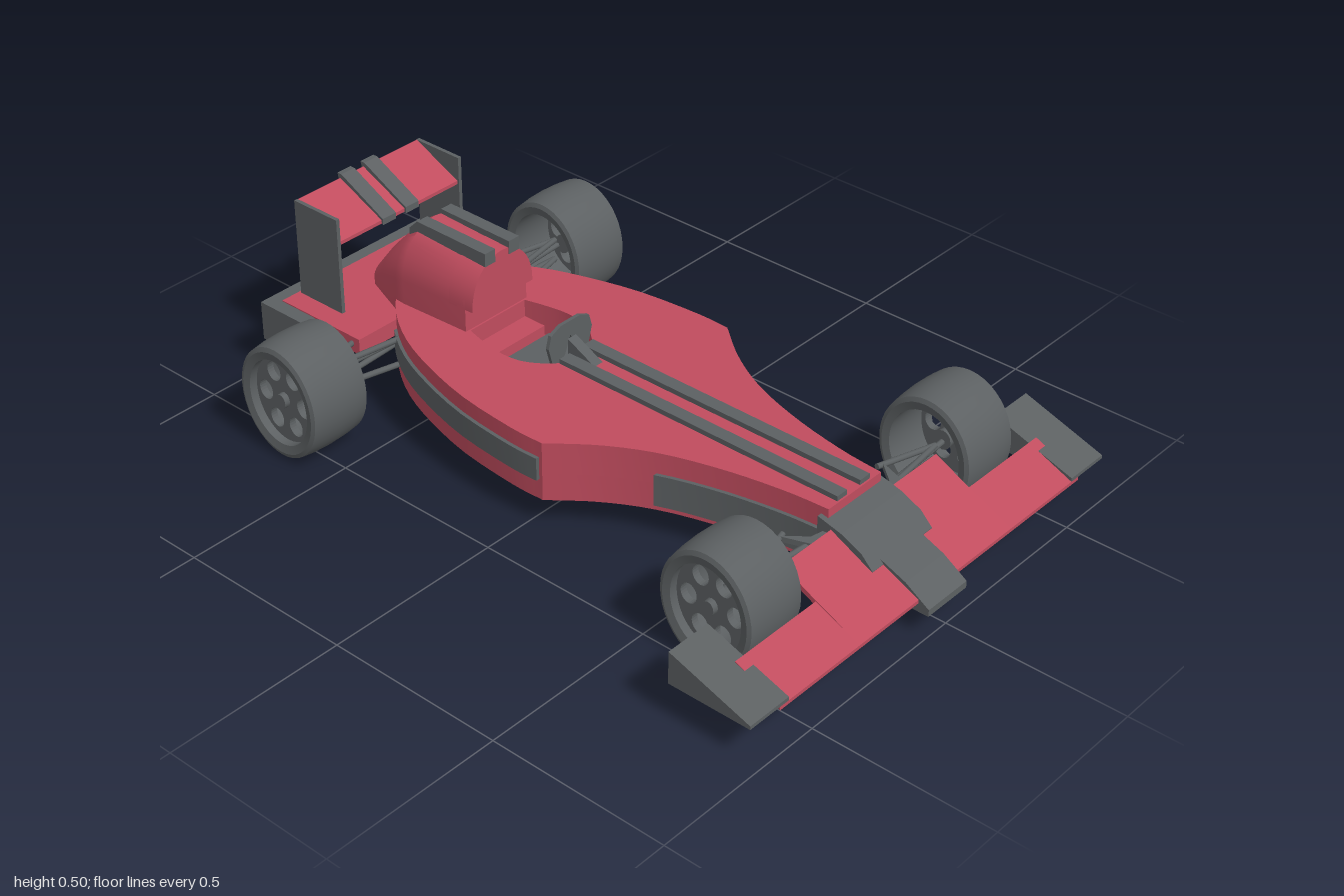
import * as THREE from 'three';
import { toCreasedNormals } from 'three/addons/utils/BufferGeometryUtils.js';

const red = new THREE.MeshStandardMaterial({ color: 0xc04c5e });
const grey = new THREE.MeshStandardMaterial({ color: 0x5c6062 });
const V2 = (x, y) => new THREE.Vector2(x, y);

// Plan outline (x, z) extruded upward from y0 to y1
function slab(points, y0, y1, hole) {
  const flip = (list) => list.map(([x, z]) => V2(x, -z));
  const shape = new THREE.Shape(flip(points));
  if (hole) shape.holes.push(new THREE.Path(flip(hole)));
  const g = new THREE.ExtrudeGeometry(shape, { depth: y1 - y0, bevelEnabled: false });
  return toCreasedNormals(g.rotateX(-Math.PI / 2).translate(0, y0, 0), 0.5);
}

// Side profile (z, y) extruded across x0..x1
function prism(points, x0, x1) {
  const shape = new THREE.Shape(points.map(([z, y]) => V2(z, y)));
  const g = new THREE.ExtrudeGeometry(shape, { depth: x1 - x0, bevelEnabled: false });
  return g.rotateY(-Math.PI / 2).translate(x1, 0, 0);
}

function box(x0, x1, y0, y1, z0, z1) {
  return new THREE.BoxGeometry(x1 - x0, y1 - y0, z1 - z0)
    .translate((x0 + x1) / 2, (y0 + y1) / 2, (z0 + z1) / 2);
}

// Arched tube lofted from front to back; section = [z, halfWidth, base, shoulder, top]
function archLoft(sections) {
  const n = 20;
  const rings = sections.map(([z, w, base, shoulder, top]) => {
    const ring = [[w, base, z]];
    for (let i = 0; i <= n; i++) {
      const a = (i / n) * Math.PI;
      ring.push([w * Math.cos(a), shoulder + (top - shoulder) * Math.sin(a), z]);
    }
    ring.push([-w, base, z]);
    return ring;
  });
  const pos = [], m = rings[0].length, last = rings[rings.length - 1];
  const tri = (a, b, c) => pos.push(...a, ...b, ...c);
  for (let i = 0; i + 1 < rings.length; i++) {
    for (let j = 0; j < m; j++) {
      const k = (j + 1) % m, p = rings[i], q = rings[i + 1];
      tri(p[j], q[j], p[k]);
      tri(p[k], q[j], q[k]);
    }
  }
  for (let j = 1; j + 1 < m; j++) {
    tri(rings[0][0], rings[0][j], rings[0][j + 1]);
    tri(last[0], last[j + 1], last[j]);
  }
  const g = new THREE.BufferGeometry();
  g.setAttribute('position', new THREE.Float32BufferAttribute(pos, 3));
  g.computeVertexNormals();
  return toCreasedNormals(g, 0.5);
}

function rod(a, b, r) {
  const p = new THREE.Vector3(...a), d = new THREE.Vector3(...b).sub(p);
  const g = new THREE.CylinderGeometry(r, r, d.length(), 8);
  g.applyQuaternion(new THREE.Quaternion().setFromUnitVectors(
    new THREE.Vector3(0, 1, 0), d.clone().normalize()));
  return g.translate(p.x + d.x / 2, p.y + d.y / 2, p.z + d.z / 2);
}

const sample = (pts, n) => new THREE.SplineCurve(pts.map(([x, z]) => V2(x, z)))
  .getPoints(n).map((p) => [p.x, p.y]);
const mirrorX = (pts) => pts.map(([x, z]) => [-x, z]).reverse();

// Wheel with an open barrel and a six-hole rim disc; outer side faces +x
function makeWheel() {
  const wheel = new THREE.Group();
  const profile = [[0.122, -0.088], [0.145, -0.093], [0.157, -0.088], [0.162, -0.05], [0.164, 0],
    [0.162, 0.05], [0.157, 0.088], [0.145, 0.093], [0.122, 0.088], [0.122, -0.088]];
  const tyre = new THREE.LatheGeometry(profile.map(([r, y]) => V2(r, y)), 40).rotateZ(-Math.PI / 2);
  const disc = new THREE.Shape().absarc(0, 0, 0.123, 0, Math.PI * 2);
  for (let i = 0; i < 6; i++) {
    const a = (i / 6) * Math.PI * 2;
    disc.holes.push(new THREE.Path().absarc(0.08 * Math.cos(a), 0.08 * Math.sin(a), 0.028, 0, Math.PI * 2));
  }
  const rim = new THREE.ExtrudeGeometry(disc, { depth: 0.02, bevelEnabled: false, curveSegments: 12 })
    .rotateY(Math.PI / 2).translate(0.045, 0, 0);
  const hub = new THREE.CylinderGeometry(0.02, 0.028, 0.09, 12).rotateZ(-Math.PI / 2).translate(0.035, 0, 0);
  const parts = { tyre: toCreasedNormals(tyre, 0.6), rim, hub };
  for (const [name, g] of Object.entries(parts)) {
    const mesh = new THREE.Mesh(g, grey);
    mesh.name = name;
    wheel.add(mesh);
  }
  wheel.scale.z = 0.86;
  return wheel;
}

export function createModel() {
  const car = new THREE.Group();
  const add = (name, geometry, material) => {
    const mesh = new THREE.Mesh(geometry, material);
    mesh.name = name;
    car.add(mesh);
    return mesh;
  };

  // Body: concave front flank, bulging rear flank
  const front = sample([[0.1, 0.72], [0.11, 0.6], [0.14, 0.44], [0.19, 0.28], [0.26, 0.15], [0.347, 0.04]], 18);
  const rear = sample([[0.347, 0.03], [0.348, -0.06], [0.33, -0.24], [0.29, -0.4], [0.24, -0.53], [0.17, -0.64], [0.08, -0.73]], 18);
  const half = [...front, ...rear];
  const outline = [...half, ...mirrorX(half)];
  const rimHalf = sample([[0.03, -0.155], [0.07, -0.175], [0.115, -0.24], [0.125, -0.31], [0.115, -0.38], [0.1, -0.44]], 14);
  add('bodyFloor', slab(outline, 0.082, 0.16, null), red);
  add('body', slab(outline, 0.16, 0.25, [...rimHalf, ...mirrorX(rimHalf)]), red);
  add('cockpitFloor', box(-0.125, 0.125, 0.155, 0.17, -0.37, -0.155), grey);
  add('seat', box(-0.1, 0.1, 0.16, 0.2, -0.45, -0.37), red);

  // Flank stripes that follow the outline
  const band = (pts, y0, y1, side) => {
    const outer = pts.map(([x, z]) => [x + 0.01, z]).reverse();
    return slab([...pts, ...outer].map(([x, z]) => [x * side, z]), y0, y1, null);
  };
  for (const s of [1, -1]) {
    add('rearFlankStripe', band(rear.slice(0, 16), 0.14, 0.205, s), grey);
    add('frontFlankStripe', band(front.filter((p) => p[1] > 0.26), 0.1, 0.19, s), grey);
    const a = s * 0.025, b = s * 0.062;
    const [x0, x1] = [Math.min(a, b), Math.max(a, b)];
    add('topStripe', box(x0, x1, 0.245, 0.264, -0.165, 0.715), grey);
    add('coverStripe', prism([[-0.418, 0.43], [-0.418, 0.468], [-0.66, 0.47], [-0.69, 0.44], [-0.69, 0.42]], x0, x1), grey);
    add('wingStripe', prism([[-0.785, 0.412], [-0.785, 0.43], [-0.935, 0.507], [-0.95, 0.507], [-0.945, 0.485]],
      s > 0 ? 0.018 : -0.065, s > 0 ? 0.065 : -0.018), grey);
  }

  // Windscreen and its small fairing
  const screen = new THREE.Shape([[-0.04, 0.23], [-0.02, 0.25], [0, 0.3], [0.02, 0.25], [0.04, 0.23],
    [0.065, 0.235], [0.08, 0.29], [0.07, 0.325], [0.035, 0.34], [-0.035, 0.34], [-0.07, 0.325],
    [-0.08, 0.29], [-0.065, 0.235]].map(([x, y]) => V2(x, y)));
  add('windscreen', new THREE.ExtrudeGeometry(screen, { depth: 0.01, bevelEnabled: false }).translate(0, 0, -0.195), grey);
  add('screenFairing', prism([[-0.09, 0.25], [-0.18, 0.295], [-0.18, 0.25]], -0.015, 0.015), grey);

  // Engine cover and intake lip
  add('engineCover', archLoft([[-0.445, 0.112, 0.2, 0.32, 0.452], [-0.66, 0.122, 0.2, 0.32, 0.46],
    [-0.69, 0.12, 0.2, 0.31, 0.44], [-0.78, 0.085, 0.2, 0.27, 0.345], [-0.83, 0.065, 0.2, 0.24, 0.28]]), red);
  add('intakeLip', archLoft([[-0.42, 0.11, 0.315, 0.325, 0.452], [-0.5, 0.115, 0.315, 0.325, 0.455]]), red);

  // Nose
  add('noseBlock', prism([[0.7, 0.09], [0.86, 0.09], [0.865, 0.15], [0.83, 0.185], [0.77, 0.212], [0.7, 0.23]], -0.115, 0.115), grey);
  add('noseTip', prism([[0.49, 0.063], [1, 0.066], [1, 0.085], [0.93, 0.13], [0.85, 0.162], [0.7, 0.162],
    [0.7, 0.078], [0.49, 0.073]], -0.074, 0.074), grey);

  // Front wing
  add('frontWingCentre', prism([[0.97, 0.09], [0.97, 0.1], [0.84, 0.16], [0.74, 0.21], [0.74, 0.195], [0.84, 0.145]], -0.295, 0.295), red);
  add('frontWing', prism([[0.97, 0.09], [0.97, 0.1], [0.84, 0.157], [0.84, 0.14]], -0.58, 0.58), red);

  // Rear deck, rear bar, tail and exhaust bulge
  add('rearDeck', box(-0.285, 0.255, 0.17, 0.216, -0.95, -0.66), red);
  add('rearBar', box(-0.325, 0.315, 0.1, 0.213, -0.99, -0.825), grey);
  add('tail', box(-0.042, 0.036, 0.1, 0.2, -1, -0.9), red);
  add('exhaustBulge', new THREE.SphereGeometry(1, 24, 16).scale(0.045, 0.045, 0.13).translate(0, 0.095, -0.775), red);

  // Rear wing
  add('rearWing', prism([[-0.79, 0.415], [-0.79, 0.425], [-0.94, 0.495], [-0.94, 0.48]], -0.218, 0.218), red);

  // Mirrored parts: end plates, suspension and wheels
  for (const s of [1, -1]) {
    const span = (p, a, b) => prism(p, s > 0 ? a : -b, s > 0 ? b : -a);
    add('frontEndPlate', span([[0.97, 0.1], [0.97, 0.11], [0.735, 0.19], [0.735, 0.1]], 0.55, 0.683), grey);
    add('rearEndPlate', span([[-0.785, 0.2], [-0.785, 0.495], [-0.942, 0.495], [-0.942, 0.2]], 0.215, 0.226), grey);
    add('noseBracket', slab([[0.1, 0.76], [0.17, 0.735], [0.2, 0.65], [0.15, 0.71], [0.1, 0.72]]
      .map(([x, z]) => [x * s, z]), 0.18, 0.195, null), grey);

    const arms = [
      [[0.37, 0.17, 0.685], [0.18, 0.19, 0.65]], [[0.37, 0.17, 0.685], [0.08, 0.19, 0.73]],
      [[0.37, 0.13, 0.685], [0.08, 0.1, 0.66]], [[0.37, 0.13, 0.685], [0.08, 0.1, 0.72]],
      [[0.45, 0.19, -0.66], [0.15, 0.2, -0.71]], [[0.45, 0.19, -0.66], [0.15, 0.2, -0.6]],
      [[0.45, 0.13, -0.66], [0.12, 0.12, -0.69]], [[0.45, 0.13, -0.66], [0.15, 0.12, -0.6]],
      [[0.46, 0.17, -0.66], [0.1, 0.16, -0.65]], [[0.4, 0.165, 0.685], [0.08, 0.15, 0.69]],
    ];
    for (const [a, b] of arms) {
      add('suspensionArm', rod([a[0] * s, a[1], a[2]], [b[0] * s, b[1], b[2]], 0.008), grey);
    }
    for (const [name, x, y, z] of [['frontWheel', 0.411, 0.17, 0.685], ['rearWheel', 0.484, 0.168, -0.655]]) {
      const wheel = makeWheel();
      wheel.name = name;
      wheel.position.set(x * s, y, z);
      if (s < 0) wheel.rotation.y = Math.PI;
      car.add(wheel);
    }
  }
  return car;
}
